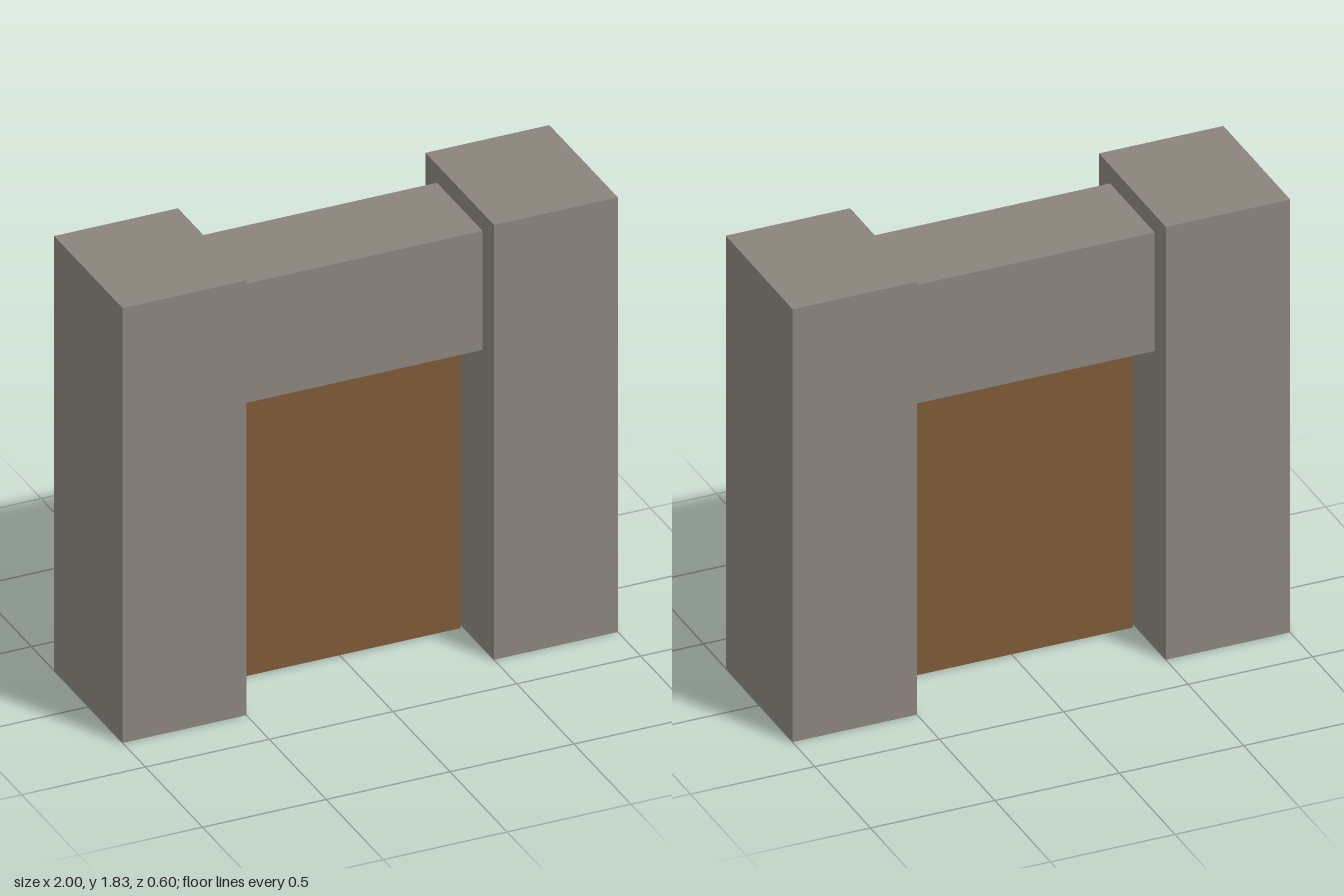
import * as THREE from 'three';

const stone = new THREE.MeshStandardMaterial({ name: 'stone', color: 0x8a847c });
const wood = new THREE.MeshStandardMaterial({ name: 'wood', color: 0x7d5a38 });

// Box standing on height y0, centred on z = 0
function block(name, width, height, depth, x, y0, material) {
  const mesh = new THREE.Mesh(new THREE.BoxGeometry(width, height, depth), material);
  mesh.name = name;
  mesh.position.set(x, y0 + height / 2, 0);
  return mesh;
}

export function createModel() {
  const gate = new THREE.Group();
  gate.name = 'gate';

  // Towers on both sides
  for (const side of [-1, 1]) {
    gate.add(block(side > 0 ? 'leftTower' : 'rightTower', 0.5, 1.825, 0.6, side * 0.75, 0, stone));
  }

  // Beam over the opening
  gate.add(block('lintel', 1, 0.5, 0.4, 0, 1.25, stone));

  // Door panel, with a small gap to the towers and the ground
  gate.add(block('door', 0.97, 1.245, 0.08, 0, 0.005, wood));

  return gate;
}
